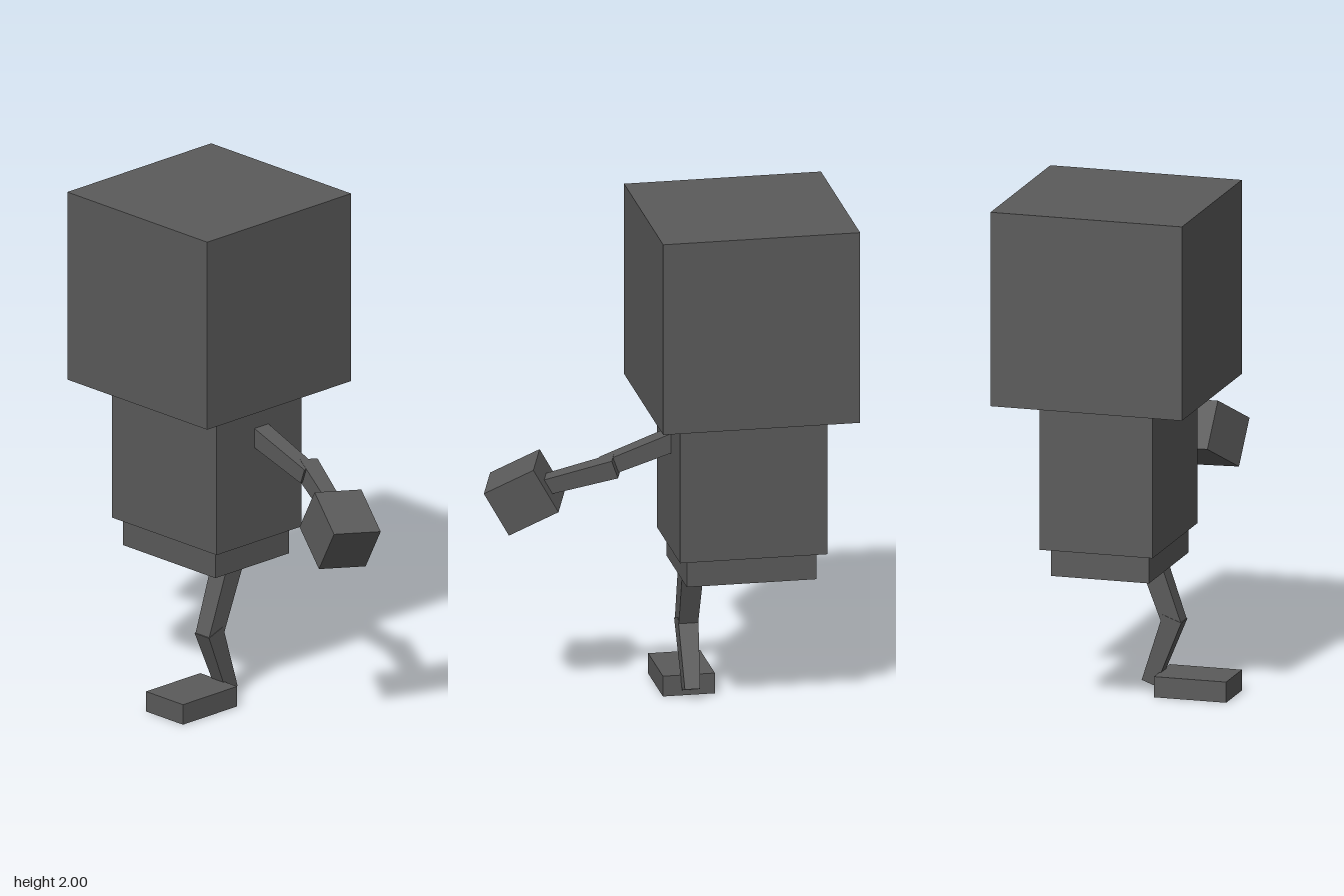
import * as THREE from 'three';

const grey = new THREE.MeshStandardMaterial({ color: 0x5a5a5a });
grey.name = 'dark grey';

const V = (x, y, z) => new THREE.Vector3(x, y, z);

export function createModel() {
  const model = new THREE.Group();
  model.name = 'blockFigure';

  function add(name, geometry) {
    const mesh = new THREE.Mesh(geometry, grey);
    mesh.name = name;
    model.add(mesh);
    return mesh;
  }

  // Axis-aligned block given by its two extreme corners
  function block(name, min, max) {
    const size = max.clone().sub(min);
    add(name, new THREE.BoxGeometry(size.x, size.y, size.z))
      .position.copy(min).add(max).multiplyScalar(0.5);
  }

  // Square bar from start to end, tapering from width w0 to w1
  function limb(name, start, end, w0, w1) {
    const dir = end.clone().sub(start);
    const length = dir.length();
    dir.normalize();
    const geometry = new THREE.BoxGeometry(1, length, 1);
    const p = geometry.attributes.position;
    for (let i = 0; i < p.count; i++) {
      const w = p.getY(i) < 0 ? w0 : w1;
      p.setX(i, p.getX(i) * w);
      p.setZ(i, p.getZ(i) * w);
    }
    geometry.computeVertexNormals();
    const xAxis = dir.clone().cross(V(0, 0, 1)).normalize();
    const zAxis = xAxis.clone().cross(dir);
    const mesh = add(name, geometry);
    mesh.quaternion.setFromRotationMatrix(new THREE.Matrix4().makeBasis(xAxis, dir, zAxis));
    mesh.position.copy(start).add(end).multiplyScalar(0.5);
  }

  // Head, body and foot
  block('head', V(-0.698, 1.23, -0.402), V(0.075, 2, 0.37));
  block('torso', V(-0.604, 0.65, -0.234), V(-0.025, 1.23, 0.222));
  block('hips', V(-0.568, 0.54, -0.199), V(-0.058, 0.65, 0.197));
  block('foot', V(-0.23, 0, 0.111), V(-0.026, 0.082, 0.402));

  // Bent leg
  limb('upperLeg', V(-0.128, 0.56, 0.06), V(-0.128, 0.273, 0.164), 0.085, 0.075);
  limb('lowerLeg', V(-0.128, 0.3, 0.164), V(-0.128, 0.036, 0.067), 0.08, 0.06);

  // Bent arm
  limb('upperArm', V(-0.06, 1.09, -0.018), V(0.235, 0.988, -0.018), 0.076, 0.064);
  limb('forearm', V(0.19, 1.0, -0.051), V(0.441, 0.912, 0.044), 0.075, 0.064);

  // Turned block hand
  const hand = add('hand', new THREE.BoxGeometry(0.221, 0.197, 0.201));
  const u = V(0.18, -0.106, 0.071).normalize();
  const w = u.clone().cross(V(0.1, 0.169, 0.014)).normalize();
  const v = w.clone().cross(u);
  hand.quaternion.setFromRotationMatrix(new THREE.Matrix4().makeBasis(u, v, w));
  hand.position.set(0.522, 0.868, 0.091);

  return model;
}
